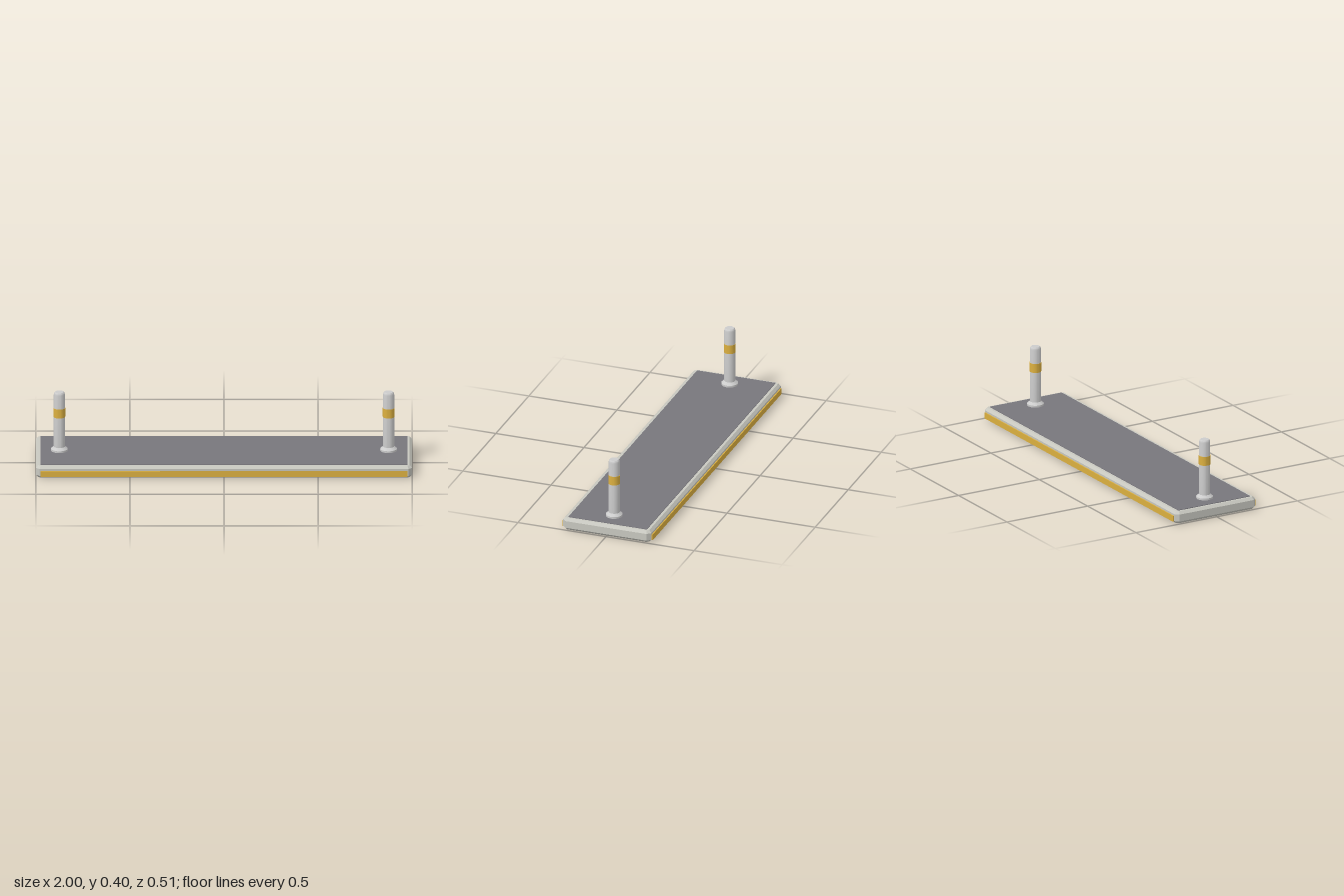
import * as THREE from 'three';
import { toCreasedNormals } from 'three/addons/utils/BufferGeometryUtils.js';

const mat = (color) => new THREE.MeshStandardMaterial({ color });
const stone = mat(0xc8c8c0), steel = mat(0xcccccc), gold = mat(0xdcb040), rubber = mat(0x78767c);

function add(parent, name, geometry, material, x = 0, y = 0, z = 0) {
  const mesh = new THREE.Mesh(geometry, material);
  mesh.name = name;
  mesh.position.set(x, y, z);
  parent.add(mesh);
  return mesh;
}

// Rectangle with cut corners
function cutRectangle(hx, hz, c) {
  return new THREE.Shape([
    [-hx + c, -hz], [hx - c, -hz], [hx, -hz + c], [hx, hz - c],
    [hx - c, hz], [-hx + c, hz], [-hx, hz - c], [-hx, -hz + c],
  ].map(([x, y]) => new THREE.Vector2(x, y)));
}

function lathe(points, segments = 24) {
  const profile = points.map(([r, y]) => new THREE.Vector2(r, y));
  return toCreasedNormals(new THREE.LatheGeometry(profile, segments), 0.5);
}

export function createModel() {
  const model = new THREE.Group();
  model.name = 'platform';

  // Slab with bevelled edges
  const bevel = 0.013;
  const slab = new THREE.ExtrudeGeometry(cutRectangle(1 - bevel, 0.25 - bevel, 0.012), {
    depth: 0.039, bevelEnabled: true, bevelThickness: 0.014, bevelSize: bevel, bevelSegments: 1,
  });
  slab.rotateX(-Math.PI / 2);
  add(model, 'slab', slab, stone, 0, 0.014, 0);

  // Dark walking surface
  add(model, 'topPad', new THREE.BoxGeometry(1.95, 0.01, 0.445), rubber, 0, 0.065, 0);

  // Trim along both long edges
  for (const side of [1, -1]) {
    add(model, side > 0 ? 'frontTrim' : 'backTrim',
      new THREE.BoxGeometry(1.95, 0.033, 0.006), gold, 0, 0.0265, side * 0.253);
  }

  // Posts with a collar and a gold band
  const postShape = lathe([[0.03, 0.065], [0.03, 0.385], [0.028, 0.394], [0.023, 0.4], [0, 0.4]]);
  const collarShape = lathe([[0.045, 0.065], [0.045, 0.08], [0.03, 0.093]]);
  const bandShape = lathe([[0.03, 0.26], [0.0315, 0.26], [0.0315, 0.31], [0.03, 0.31]]);
  for (const side of [1, -1]) {
    const post = new THREE.Group();
    post.name = side > 0 ? 'leftPost' : 'rightPost';
    post.position.x = side * 0.875;
    add(post, 'shaft', postShape, steel);
    add(post, 'collar', collarShape, steel);
    add(post, 'band', bandShape, gold);
    model.add(post);
  }
  return model;
}
